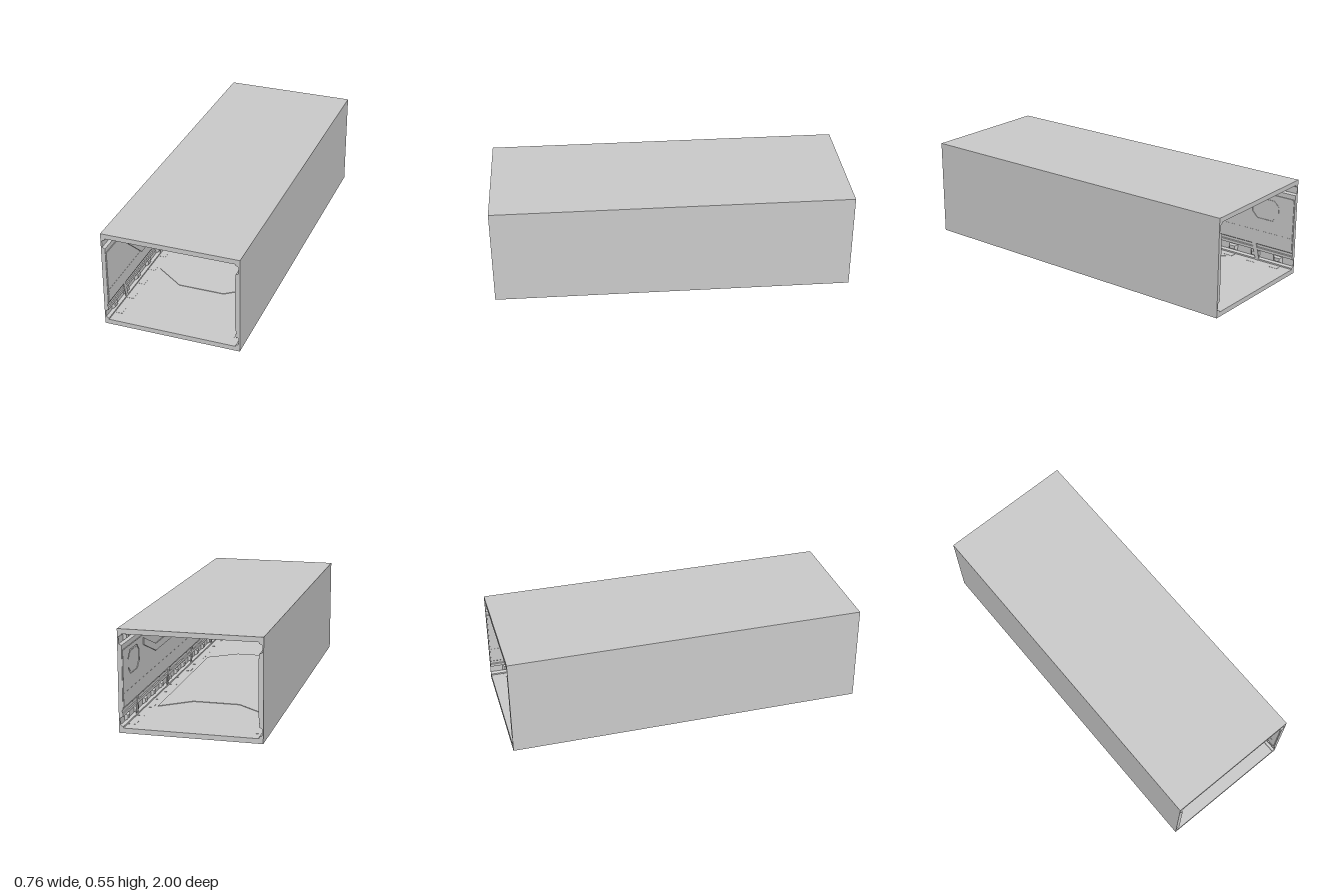
import * as THREE from 'three';

const material = new THREE.MeshStandardMaterial({ color: 0xcccccc, flatShading: true });
const toShape = pts => new THREE.Shape(pts.map(p => new THREE.Vector2(p[0], p[1])));
const extrude = (shape, depth) => new THREE.ExtrudeGeometry(shape, { depth, bevelEnabled: false });
const rect = (x0, y0, x1, y1) => [[x0, y0], [x1, y0], [x1, y1], [x0, y1]];

// Rectangle with its corners cut off
function cutRect(cx, cy, w, h, c) {
  const x = w / 2, y = h / 2;
  return [[-x + c, -y], [x - c, -y], [x, -y + c], [x, y - c], [x - c, y], [-x + c, y], [-x, y - c], [-x, -y + c]]
    .map(([a, b]) => [cx + a, cy + b]);
}

// Band of even height following a bent path
const band = (path, h) => [
  ...path.map(([a, b]) => [a, b - h / 2]),
  ...[...path].reverse().map(([a, b]) => [a, b + h / 2]),
];

export function createModel() {
  const group = new THREE.Group();
  const add = (name, geometry, x = 0, y = 0, z = 0) => {
    const mesh = new THREE.Mesh(geometry, material);
    mesh.name = name;
    mesh.position.set(x, y, z);
    group.add(mesh);
    return mesh;
  };

  // Shell: rectangular tube with a long groove near each inner corner
  const W = 0.38, H = 0.553, wx = 0.357, y0 = 0.027, y1 = 0.526;
  const side = [
    [wx, y0], [wx, 0.035], [0.373, 0.042], [0.373, 0.08], [wx, 0.087],
    [wx, 0.103], [0.361, 0.107], [0.361, 0.122], [wx, 0.126],
    [wx, 0.466], [0.373, 0.473], [0.373, 0.511], [wx, 0.518], [wx, y1],
  ];
  const shell = toShape(rect(-W, 0, W, H));
  shell.holes.push(toShape([...side, ...[...side].reverse().map(([x, y]) => [-x, y])]));
  add('corridorShell', extrude(shell, 2), 0, 0, -1);

  // Chevron-ended plates on floor and ceiling
  const plate = extrude(toShape([
    [-0.295, -0.45], [-0.13, -0.57], [0.13, -0.57], [0.295, -0.45],
    [0.295, 0.6], [0.13, 0.47], [-0.13, 0.47], [-0.295, 0.6],
  ]), 0.004);
  plate.rotateX(-Math.PI / 2);
  add('floorPlate', plate, 0, y0 - 0.001);
  add('ceilingPlate', plate, 0, y1 - 0.003);

  // Wall shapes are drawn in (z, y) and raised inward from each side wall
  const onWalls = (name, shape, depth, base = wx + 0.001) => {
    const geometry = extrude(shape, depth);
    geometry.rotateY(-Math.PI / 2);
    add(name + 'Left', geometry, base);
    add(name + 'Right', geometry, -base + depth);
  };

  // Wall panel with a recessed hatch
  const panel = toShape(rect(-0.995, 0.135, 0.995, 0.44));
  const hatch = cutRect(-0.82, 0.35, 0.18, 0.13, 0.035);
  panel.holes.push(toShape(hatch));
  onWalls('wallPanel', panel, 0.005);
  onWalls('hatchCover', toShape(cutRect(-0.82, 0.35, 0.16, 0.11, 0.03)), 0.003);

  // Bent conduit, raised window and long trim strips
  const path = [[0.78, 0.405], [0.57, 0.22], [0.36, 0.22], [0.2, 0.32], [-0.45, 0.32], [-0.66, 0.405]];
  onWalls('wallConduit', toShape(band(path, 0.04)), 0.01);
  onWalls('raisedPanel', toShape(cutRect(0.46, 0.34, 0.2, 0.13, 0.04)), 0.008);
  onWalls('upperTrim', toShape(rect(-0.99, 0.425, 0.99, 0.44)), 0.006);
  onWalls('lowerTrim', toShape(rect(-0.99, 0.2, 0.99, 0.21)), 0.006);

  // Clips in the corner grooves, with flat feet on floor and ceiling
  const clip = new THREE.CylinderGeometry(0.012, 0.021, 0.015, 4, 1);
  clip.rotateY(Math.PI / 4);
  clip.scale(1.2, 1, 2);
  clip.rotateZ(Math.PI / 2);
  const foot = new THREE.BoxGeometry(0.04, 0.002, 0.055);
  for (const s of [-1, 1]) {
    for (let i = 0; i < 13; i++) {
      const z = -0.9 + i * 0.15;
      for (const [level, surface] of [[0.061, y0], [0.492, y1]]) {
        const c = add('grooveClip', clip, s * 0.366, level, z);
        if (s < 0) c.rotation.y = Math.PI;
        add('clipFoot', foot, s * 0.335, surface, z);
      }
    }
    // Short straps bridging the lower groove
    for (const z of [-0.76, -0.2, 0.3, 0.78]) {
      const strap = add('grooveStrap', new THREE.BoxGeometry(0.004, 0.1, 0.025), s * 0.3575, 0.083, z);
      strap.rotation.x = 0.25;
    }
  }
  return group;
}
